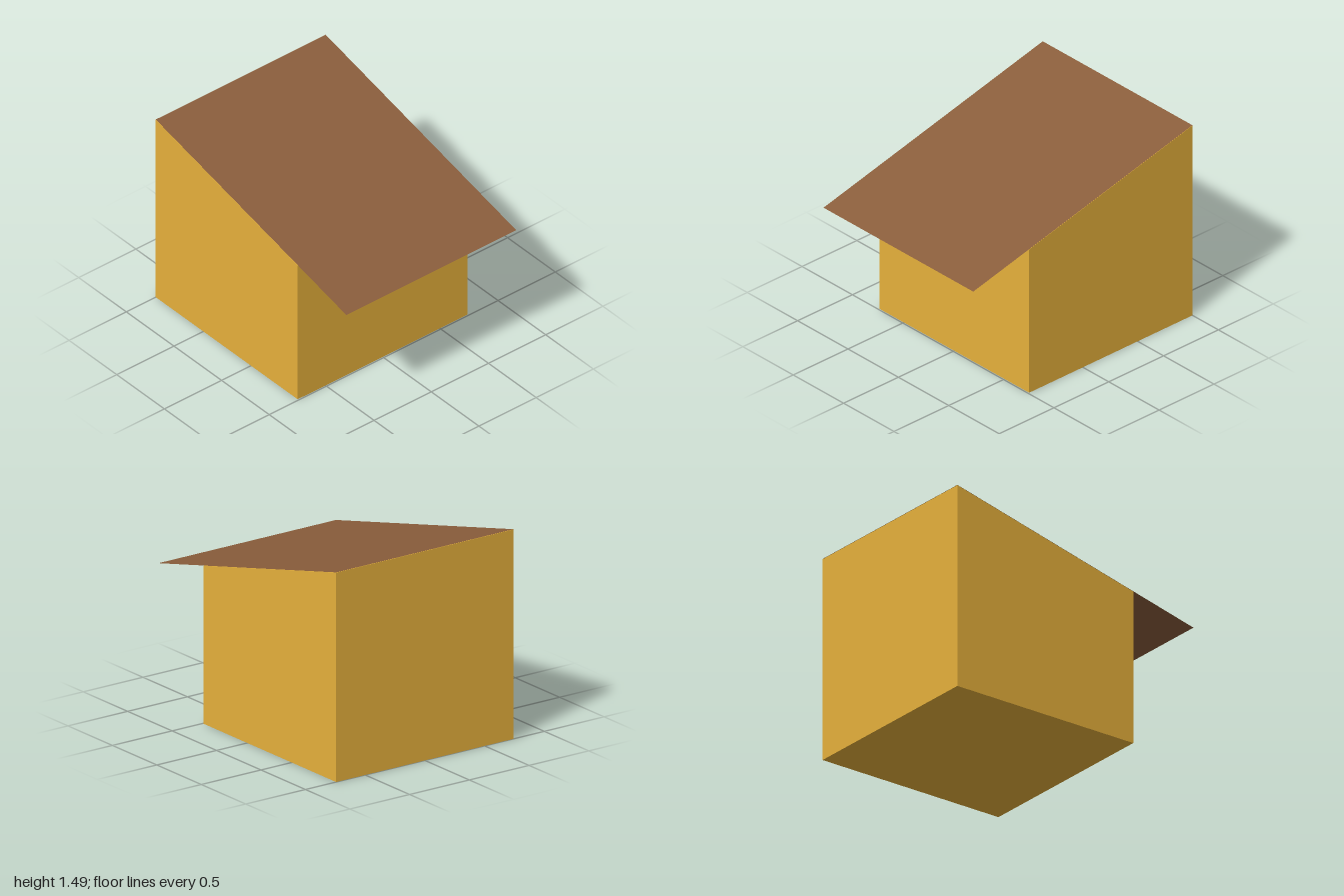
import * as THREE from 'three';

const WIDTH = 1.486;
const BACK = -1, WALL_FRONT = 0.49, EAVE = 1;
const RIDGE_Y = 1.49, EAVE_Y = 1.0;

// Height of the sloping roof at depth z
const roofY = (z) => RIDGE_Y + (EAVE_Y - RIDGE_Y) * (z - BACK) / (EAVE - BACK);

export function createModel() {
  const group = new THREE.Group();
  group.name = 'leanToShed';

  const wallYellow = new THREE.MeshStandardMaterial({ color: 0xe8b23c });
  wallYellow.name = 'wall yellow';
  const roofBrown = new THREE.MeshStandardMaterial({ color: 0x8b5e3c, side: THREE.DoubleSide });
  roofBrown.name = 'roof brown';

  // Walls and floor: side profile (z, y) extruded across the width
  const gap = 0.002; // keeps the top just under the roof sheet
  const profile = new THREE.Shape([
    new THREE.Vector2(BACK, 0),
    new THREE.Vector2(WALL_FRONT, 0),
    new THREE.Vector2(WALL_FRONT, roofY(WALL_FRONT) - gap),
    new THREE.Vector2(BACK, RIDGE_Y - gap),
  ]);
  const wallGeometry = new THREE.ExtrudeGeometry(profile, { depth: WIDTH, bevelEnabled: false });
  wallGeometry.translate(0, 0, -WIDTH / 2).rotateY(-Math.PI / 2);
  const walls = new THREE.Mesh(wallGeometry, wallYellow);
  walls.name = 'walls';
  group.add(walls);

  // Roof: one thin sloping sheet that overhangs the front
  const run = EAVE - BACK, drop = RIDGE_Y - EAVE_Y;
  const roofGeometry = new THREE.PlaneGeometry(WIDTH, Math.hypot(run, drop));
  roofGeometry.rotateX(-Math.PI / 2 + Math.atan2(drop, run));
  const roof = new THREE.Mesh(roofGeometry, roofBrown);
  roof.name = 'roof';
  roof.position.set(0, (RIDGE_Y + EAVE_Y) / 2, (BACK + EAVE) / 2);
  group.add(roof);

  return group;
}
